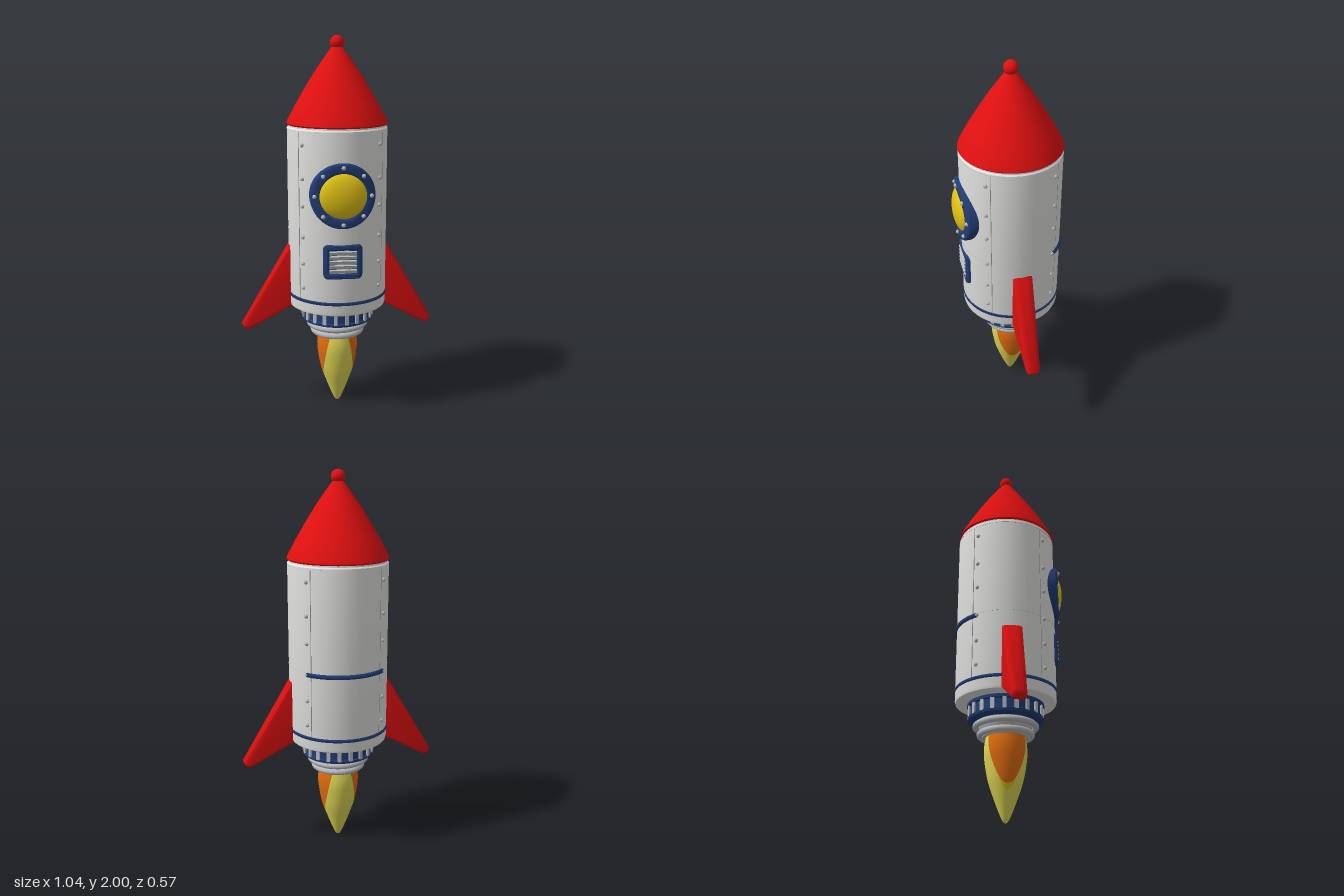
import * as THREE from 'three';
import { toCreasedNormals } from 'three/addons/utils/BufferGeometryUtils.js';
import { ParametricGeometry } from 'three/addons/geometries/ParametricGeometry.js';

const mat = (name, color) => new THREE.MeshStandardMaterial({ name, color });
const V2 = (x, y) => new THREE.Vector2(x, y);
const R = 0.26; // hull radius

export function createModel() {
  const white = mat('hullWhite', 0xe4e4e2), red = mat('red', 0xe01010);
  const navy = mat('navy', 0x223c74), metal = mat('metal', 0xb4b7bb);
  const seamGrey = mat('seamGrey', 0x9a9c9f), gold = mat('windowYellow', 0xe2c414);
  const pale = mat('flameYellow', 0xdfd654), orange = mat('flameOrange', 0xe06c10);

  const model = new THREE.Group();
  model.name = 'rocket';
  const rocket = new THREE.Group();
  rocket.name = 'rocketBody';
  rocket.position.z = -0.018;
  model.add(rocket);

  const add = (name, geo, material, x = 0, y = 0, z = 0) => {
    const m = new THREE.Mesh(geo, material);
    m.name = name;
    m.position.set(x, y, z);
    rocket.add(m);
    return m;
  };
  // Turned part from [radius, height] pairs, keeping hard edges
  const turned = (pts, seg = 64, crease = 0.5) =>
    toCreasedNormals(new THREE.LatheGeometry(pts.map(p => V2(...p)), seg), crease);
  // Move vertices by a rule, then rebuild normals
  const reshape = (geo, rule) => {
    const p = geo.attributes.position, v = new THREE.Vector3();
    for (let i = 0; i < p.count; i++) {
      rule(v.fromBufferAttribute(p, i));
      p.setXYZ(i, v.x, v.y, v.z);
    }
    return toCreasedNormals(geo, 0.7);
  };
  const rounded = (Kind, w, h, r) => {
    const s = new Kind(), x = w / 2, y = h / 2;
    s.moveTo(-x + r, -y).lineTo(x - r, -y).quadraticCurveTo(x, -y, x, -y + r);
    s.lineTo(x, y - r).quadraticCurveTo(x, y, x - r, y);
    s.lineTo(-x + r, y).quadraticCurveTo(-x, y, -x, y - r);
    s.lineTo(-x, -y + r).quadraticCurveTo(-x, -y, -x + r, -y);
    return s;
  };

  // Hull and nose
  add('hull', turned([[0, 0.59], [0.245, 0.59], [0.256, 0.596], [R, 0.61], [R, 1.54],
    [0.254, 1.547], [0.254, 1.558], [0, 1.558]]), white);
  add('noseCone', turned([[0, 1.555], [0.256, 1.555], [0.262, 1.562], [0.258, 1.575], [0.215, 1.655],
    [0.165, 1.74], [0.11, 1.827], [0.055, 1.905], [0.018, 1.955], [0, 1.96]]), red);
  add('noseBall', new THREE.SphereGeometry(0.036, 24, 16), red, 0, 1.964, 0);

  // Bands and seams around the hull
  const band = (name, y, h, r, material, start = 0, length = Math.PI * 2) => add(name,
    new THREE.LatheGeometry([V2(R - 0.01, y - h / 2), V2(r, y - h / 2 + 0.002),
      V2(r, y + h / 2 - 0.002), V2(R - 0.01, y + h / 2)], 64, start, length), material);
  band('lowerStripe', 0.66, 0.02, R + 0.003, navy);
  band('topSeam', 1.532, 0.004, R + 0.001, seamGrey);
  band('middleSeam', 1.01, 0.003, R + 0.001, seamGrey);
  const rivetAngle = 0.848;
  const rail = band('backRail', 1.0, 0.024, R + 0.008, navy, Math.PI - rivetAngle, 2 * rivetAngle);
  rail.material = navy;

  // Rivet columns with a plate seam beside each
  const rivet = new THREE.SphereGeometry(0.011, 10, 8);
  for (const a of [rivetAngle, -rivetAngle, Math.PI - rivetAngle, Math.PI + rivetAngle]) {
    for (const y of [0.73, 0.86, 1.0, 1.16, 1.3, 1.47])
      add('rivet', rivet, metal, Math.sin(a) * R, y, Math.cos(a) * R);
    const b = a + (Math.sin(a) > 0 ? 0.1 : -0.1);
    const seam = add('plateSeam', new THREE.BoxGeometry(0.003, 0.86, 0.004), seamGrey,
      Math.sin(b) * R, 1.1, Math.cos(b) * R);
    seam.rotation.y = b;
  }

  // Porthole: bent ring, domed glass, bolts
  const ringShape = new THREE.Shape().absarc(0, 0, 0.153, 0, Math.PI * 2);
  ringShape.holes.push(new THREE.Path().absarc(0, 0, 0.125, 0, Math.PI * 2, true));
  const ringBend = x => 1.1 * x * x;
  add('portholeRing', reshape(new THREE.ExtrudeGeometry(ringShape, {
    depth: 0.1, bevelSize: 0.012, bevelThickness: 0.012, bevelSegments: 4, curveSegments: 40,
  }), v => { v.z -= ringBend(v.x); }), navy, 0, 1.225, 0.169);
  const glass = add('portholeGlass', new THREE.SphereGeometry(0.122, 40, 24), gold, 0, 1.225, 0.252);
  glass.scale.z = 0.42;
  for (let i = 0; i < 8; i++) {
    const a = i * Math.PI / 4, x = 0.143 * Math.cos(a);
    add('portholeBolt', rivet, metal, x, 1.225 + 0.143 * Math.sin(a), 0.281 - ringBend(x));
  }

  // Vent: frame, back plate and slats
  const frame = rounded(THREE.Shape, 0.184, 0.164, 0.018);
  frame.holes.push(rounded(THREE.Path, 0.16, 0.136, 0.008));
  add('ventFrame', reshape(new THREE.ExtrudeGeometry(frame, {
    depth: 0.05, bevelSize: 0.008, bevelThickness: 0.008, bevelSegments: 3, curveSegments: 5,
  }), v => { v.z -= 1.6 * v.x * v.x; }), navy, 0, 0.885, 0.215);
  add('ventPlate', new THREE.BoxGeometry(0.168, 0.145, 0.05), navy, 0, 0.885, 0.233);
  for (let i = 0; i < 5; i++) {
    const slat = add('ventSlat', new THREE.BoxGeometry(0.138, 0.017, 0.012), metal, 0, 0.837 + i * 0.024, 0.261);
    slat.rotation.x = 0.3;
  }

  // Side fins, thinner toward the tip
  const finShape = new THREE.Shape();
  finShape.moveTo(0.2, 1.01).lineTo(0.494, 0.49);
  finShape.absarc(0.485, 0.485, 0.01, 0.5, -2.08, true);
  finShape.lineTo(0.2, 0.633).closePath();
  const finGeo = reshape(new THREE.ExtrudeGeometry(finShape, {
    depth: 0.036, bevelSize: 0.02, bevelThickness: 0.037, bevelSegments: 8, curveSegments: 10,
  }), v => {
    const t = THREE.MathUtils.clamp((v.x - 0.25) / 0.25, 0, 1);
    v.z = (v.z - 0.018) * (1 - 0.36 * t);
  });
  add('leftFin', finGeo, red);
  add('rightFin', finGeo, red).rotation.y = Math.PI;

  // Engine collar with ribs, then nozzle rings
  add('engineCollar', turned([[0, 0.5], [0.176, 0.5], [0.19, 0.506], [0.193, 0.52], [0.186, 0.524],
    [0.186, 0.57], [0.196, 0.574], [0.196, 0.592], [0, 0.592]]), navy);
  const ribCount = 20;
  for (let i = 0; i < ribCount; i++) {
    const a = (i + 0.5) / ribCount * Math.PI * 2;
    const rib = add('collarRib', new THREE.BoxGeometry(0.02, 0.058, 0.016), metal,
      Math.sin(a) * 0.186, 0.546, Math.cos(a) * 0.186);
    rib.rotation.y = a;
  }
  add('nozzleNeck', turned([[0, 0.42], [0.115, 0.42], [0.125, 0.45], [0.145, 0.5], [0, 0.505]]), metal);
  for (const [r, y] of [[0.152, 0.477], [0.13, 0.434]]) {
    const ring = add('nozzleRing', new THREE.TorusGeometry(r, 0.016, 12, 56), metal, 0, y, 0);
    ring.rotation.x = Math.PI / 2;
  }

  // Flame with coloured patches on both sides
  const profile = new THREE.SplineCurve([[0.001, 0], [0.018, 0.018], [0.05, 0.095], [0.086, 0.2],
    [0.104, 0.295], [0.108, 0.36], [0.1, 0.425]].map(p => V2(...p)));
  const outline = profile.getPoints(60);
  const radiusAt = y => {
    const i = Math.max(1, outline.findIndex(p => p.y >= y)), a = outline[i - 1], b = outline[i];
    return THREE.MathUtils.mapLinear(y, a.y, b.y, a.x, b.x);
  };
  add('flame', new THREE.LatheGeometry(outline, 56), pale);
  const patch = (name, material, low, high, halfAngle, lift) => {
    const geo = new ParametricGeometry((u, v, out) => {
      const t = v * v, y = low + (high - low) * t;
      const a = halfAngle * Math.pow(t, 0.4) * (1 - 2 * u), r = radiusAt(y) + lift;
      out.set(Math.cos(a) * r, y, Math.sin(a) * r);
    }, 24, 32);
    add(name, geo, material);
    add(name, geo, material).rotation.y = Math.PI;
  };
  patch('flameGoldPatch', gold, 0.15, 0.205, 0.52, 0.001);
  patch('flameOrangePatch', orange, 0.178, 0.424, 1.1, 0.002);

  return model;
}
